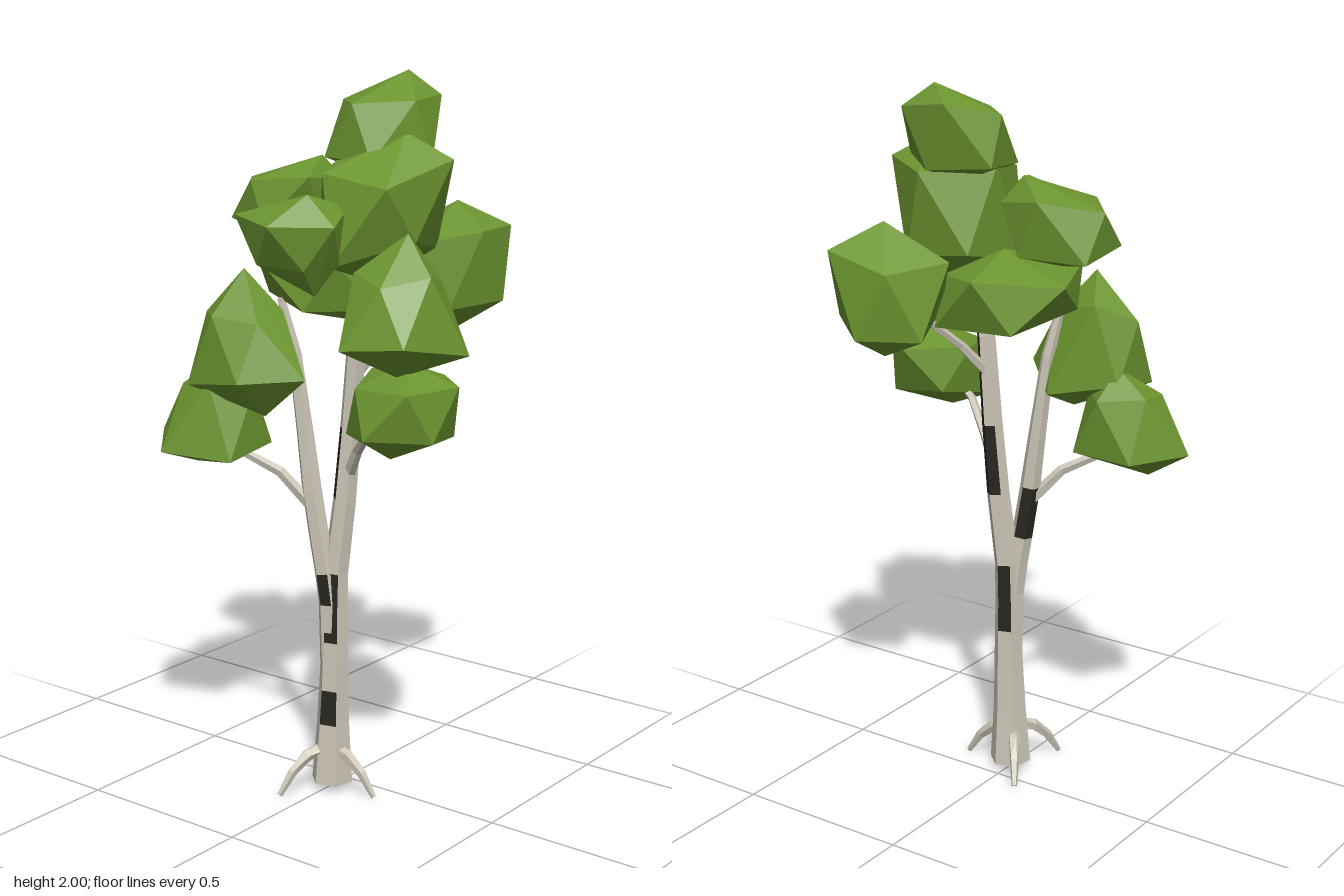
import * as THREE from 'three';
import { ConvexGeometry } from 'three/addons/geometries/ConvexGeometry.js';

const mat = (name, color) => {
  const m = new THREE.MeshStandardMaterial({ color });
  m.name = name;
  return m;
};

// Small seeded random generator
function seeded(seed) {
  let s = seed * 7919 + 17;
  return () => (s = (s * 16807) % 2147483647) / 2147483647;
}

// Faceted tapering limb: nodes are [x, y, z, radius]; dark lists [segment, side] bark patches
function limb(nodes, sides, dark = []) {
  const pts = nodes.map(n => new THREE.Vector3(n[0], n[1], n[2]));
  const ref = new THREE.Vector3(0, 0, 1);
  const rings = pts.map((p, i) => {
    const t = pts[Math.min(i + 1, pts.length - 1)].clone().sub(pts[Math.max(i - 1, 0)]).normalize();
    const u = t.clone().cross(ref).normalize();
    const v = t.clone().cross(u);
    return Array.from({ length: sides }, (_, j) => {
      const a = (j / sides) * Math.PI * 2 + 0.3;
      return p.clone().addScaledVector(u, Math.cos(a) * nodes[i][3]).addScaledVector(v, Math.sin(a) * nodes[i][3]);
    });
  });
  const plain = [], patches = [];
  const last = rings.length - 1;
  for (let j = 0; j < sides; j++) {
    const k = (j + 1) % sides;
    for (let i = 0; i < last; i++) {
      const isDark = dark.some(d => d[0] === i && d[1] === j);
      const [a, b, c, d] = [rings[i][j], rings[i][k], rings[i + 1][k], rings[i + 1][j]];
      (isDark ? patches : plain).push(a, b, c, a, c, d);
    }
    plain.push(pts[0], rings[0][k], rings[0][j], pts[last], rings[last][j], rings[last][k]);
  }
  const g = new THREE.BufferGeometry().setFromPoints([...plain, ...patches]);
  g.addGroup(0, plain.length, 0);
  if (patches.length) g.addGroup(plain.length, patches.length, 1);
  g.computeVertexNormals();
  return g;
}

// Faceted leaf clump filling the box min..max, with its peak and foot at the given [x, z];
// a positive taper narrows the upper half, a negative one the lower half
function clump(min, max, peak, foot, spin, taper) {
  const rnd = seeded(Math.round(spin * 10) + 3);
  const box = new THREE.Box3(new THREE.Vector3(...min), new THREE.Vector3(...max));
  const centre = box.getCenter(new THREE.Vector3());
  const half = box.getSize(new THREE.Vector3()).multiplyScalar(0.5);
  const pts = [];
  [[peak, 1], [foot, -1]].forEach(([[x, z], up]) => {
    const ox = (x - centre.x) / half.x, oz = (z - centre.z) / half.z;
    pts.push(new THREE.Vector3(ox, up, oz));
    for (let i = 0; i < 5; i++) {
      const a = spin + ((i + (up > 0 ? 0 : 0.5)) / 5) * Math.PI * 2;
      const r = (0.9 + rnd() * 0.2) * (1 - up * taper);
      pts.push(new THREE.Vector3(
        Math.cos(a) * r + ox * 0.35, up * (0.35 + rnd() * 0.35) - taper * 0.3, Math.sin(a) * r + oz * 0.35));
    }
  });
  // Fit the points to the box
  const raw = new THREE.Box3().setFromPoints(pts);
  const mid = raw.getCenter(new THREE.Vector3());
  const rawHalf = raw.getSize(new THREE.Vector3()).multiplyScalar(0.5);
  pts.forEach(p => p.sub(mid).divide(rawHalf).multiply(half).add(centre));
  return new ConvexGeometry(pts);
}

export function createModel() {
  const tree = new THREE.Group();
  tree.name = 'tree';
  const bark = mat('paleBark', 0xccc5b7);
  const darkBark = mat('darkBark', 0x28261f);
  const leaf = mat('leafGreen', 0x6c9630);
  const barks = [bark, darkBark];
  const add = (name, geometry, material) => {
    const m = new THREE.Mesh(geometry, material);
    m.name = name;
    tree.add(m);
  };

  // Main trunk, continuing up as one stem
  add('trunk', limb([
    [0.004, 0.025, 0.07, 0.06], [0.006, 0.2, 0.068, 0.048], [0.008, 0.3, 0.067, 0.044],
    [0.01, 0.44, 0.065, 0.039], [0.01, 0.53, 0.064, 0.037], [0.012, 0.64, 0.062, 0.036],
    [0.035, 0.85, 0.052, 0.033], [0.05, 1.05, 0.045, 0.03], [0.07, 1.3, 0.045, 0.026],
    [0.1, 1.45, 0.05, 0.02], [0.12, 1.58, 0.05, 0.012],
  ], 6, [[1, 4], [3, 4], [4, 4], [3, 1], [4, 1], [6, 1], [6, 3], [6, 0], [7, 0], [8, 0]]), barks);

  // Second stem leaning to the other side
  add('secondStem', limb([
    [0.0, 0.3, 0.07, 0.03], [0.0, 0.55, 0.077, 0.031], [-0.008, 0.64, 0.084, 0.031],
    [-0.02, 0.72, 0.09, 0.03], [-0.042, 0.87, 0.098, 0.029], [-0.062, 1.02, 0.1, 0.025],
    [-0.09, 1.25, 0.11, 0.019], [-0.12, 1.4, 0.13, 0.011],
  ], 6, [[1, 4], [3, 1], [3, 2]]), barks);

  // Side branches reaching into the clumps
  [
    [[-0.045, 0.83, 0.1, 0.018], [-0.12, 0.92, 0.14, 0.015], [-0.22, 0.975, 0.19, 0.012], [-0.31, 1.03, 0.22, 0.008]],
    [[0.042, 0.91, 0.05, 0.018], [0.1, 1.0, 0.08, 0.014], [0.18, 1.08, 0.13, 0.012], [0.29, 1.15, 0.17, 0.008]],
    [[0.06, 1.19, 0.045, 0.016], [0.1, 1.28, -0.03, 0.013], [0.13, 1.35, -0.11, 0.011], [0.16, 1.44, -0.2, 0.008]],
  ].forEach(n => add('branch', limb(n, 5), bark));

  // Three arched roots
  for (let i = 0; i < 3; i++) {
    const a = (i / 3) * Math.PI * 2 - 0.08;
    const n = [[0.02, 0.125, 0.018], [0.065, 0.112, 0.018], [0.112, 0.07, 0.014], [0.152, 0.008, 0.008]];
    add('root', limb(n.map(([d, y, r]) => [Math.cos(a) * d, y, 0.083 + Math.sin(a) * d, r]), 5), bark);
  }

  // Leaf clumps: lower corner, upper corner, peak, foot, spin, taper
  [
    [[-0.045, 1.73, -0.17], [0.253, 2.0, 0.1], [0.13, -0.11], [0.1, 0.0], 0.5, 0.05],
    [[-0.025, 1.45, -0.152], [0.32, 1.85, 0.23], [0.23, 0.02], [0.12, 0.02], 0.9, 0],
    [[-0.138, 1.44, 0.155], [0.185, 1.705, 0.375], [0.12, 0.3], [0.12, 0.27], 0.3, -0.12],
    [[-0.345, 1.53, -0.14], [-0.06, 1.77, 0.135], [-0.09, -0.03], [-0.17, 0.02], 0.7, 0],
    [[0.135, 1.25, 0.0], [0.472, 1.61, 0.33], [0.31, 0.13], [0.33, 0.2], 0.2, 0.2],
    [[0.16, 1.03, 0.005], [0.458, 1.28, 0.325], [0.3, 0.15], [0.28, 0.2], 1.0, 0],
    [[-0.31, 1.09, 0.075], [0.025, 1.485, 0.33], [-0.13, 0.2], [-0.05, 0.2], 0.6, 0.2],
    [[-0.475, 0.93, 0.08], [-0.17, 1.235, 0.36], [-0.31, 0.17], [-0.39, 0.23], 1.2, 0.22],
    [[0.022, 1.295, -0.375], [0.328, 1.65, -0.085], [0.19, -0.25], [0.17, -0.28], 0.4, 0],
    [[-0.25, 1.33, -0.245], [0.15, 1.57, 0.19], [-0.03, -0.06], [0.06, -0.05], 0.8, 0],
  ].forEach(c => add('leafClump', clump(...c), leaf));

  return tree;
}
